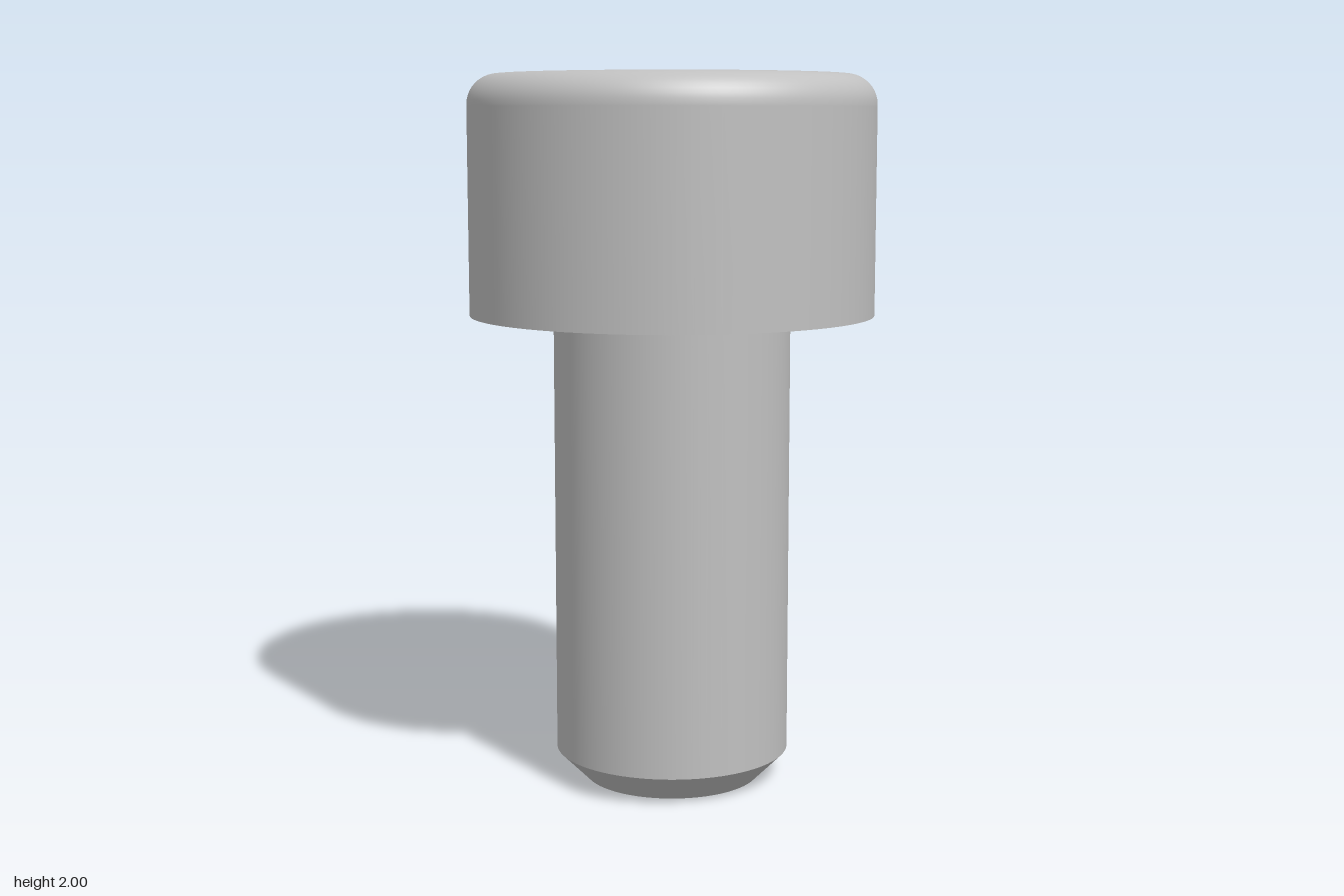
import * as THREE from 'three';

const SEG = 96;
const HEAD_R = 0.567, HEAD_Y = 1.335, FILLET = 0.085;
const SHANK_R = 0.333, CHAMFER = 0.083, NECK = 0.013;
const HEX_R = 0.309, WALL = 0.19, DRILL = 0.155;

// Points along a quarter circle, for fillets in a lathe profile
function arc(cx, cy, r, from, to, steps = 10) {
  return Array.from({ length: steps + 1 }, (_, i) => {
    const a = from + (to - from) * i / steps;
    return [cx + r * Math.cos(a), cy + r * Math.sin(a)];
  });
}

export function createModel() {
  const group = new THREE.Group();
  const steel = new THREE.MeshStandardMaterial({ color: 0xc0c0c0 });
  steel.name = 'steel grey';

  const add = (name, geometry) => {
    const mesh = new THREE.Mesh(geometry, steel);
    mesh.name = name;
    group.add(mesh);
  };
  // Profiles run from the axis outward and upward
  const lathe = (name, pts) =>
    add(name, new THREE.LatheGeometry(pts.map(p => new THREE.Vector2(...p)), SEG));

  // Shank, with a chamfered tip and a small fillet under the head
  lathe('tipFace', [[0, 0], [SHANK_R - CHAMFER, 0]]);
  lathe('tipChamfer', [[SHANK_R - CHAMFER, 0], [SHANK_R, CHAMFER]]);
  lathe('shank', [[SHANK_R, CHAMFER], [SHANK_R, HEAD_Y - NECK - 0.01],
    ...arc(SHANK_R + NECK, HEAD_Y - NECK, NECK, Math.PI, Math.PI / 2, 6)]);

  // Head, with a rounded top rim
  lathe('headUnderside', [[SHANK_R + NECK, HEAD_Y], [HEAD_R, HEAD_Y]]);
  lathe('headSide', [[HEAD_R, HEAD_Y], [HEAD_R, 2 - FILLET - 0.005],
    ...arc(HEAD_R - FILLET, 2 - FILLET, FILLET, 0, Math.PI / 2),
    [HEAD_R - FILLET - 0.005, 2]]);

  // Flat top with a hexagonal opening, corners pointing front and back
  const top = new THREE.Shape().absarc(0, 0, HEAD_R - FILLET - 0.005, 0, Math.PI * 2);
  const hex = Array.from({ length: 6 }, (_, i) => new THREE.Vector2(
    HEX_R * Math.sin(i * Math.PI / 3), HEX_R * Math.cos(i * Math.PI / 3)));
  top.holes.push(new THREE.Path(hex));
  add('headTop', new THREE.ShapeGeometry(top, SEG).rotateX(-Math.PI / 2).translate(0, 2, 0));

  // Socket walls, mirrored so that they face inward
  const walls = new THREE.CylinderGeometry(HEX_R, HEX_R, WALL, 6, 1, true)
    .scale(-1, 1, 1).translate(0, 2 - WALL / 2, 0).toNonIndexed();
  walls.computeVertexNormals();
  add('socketWalls', walls);

  // Sunken socket floor: an upside-down cone seen from inside
  const floor = new THREE.ConeGeometry(HEX_R, DRILL, 6, 1, true)
    .scale(1, -1, 1).translate(0, 2 - WALL - DRILL / 2, 0);
  const n = floor.attributes.normal;
  for (let i = 0; i < n.count; i++) n.setXYZ(i, -n.getX(i), -n.getY(i), -n.getZ(i));
  add('socketFloor', floor);

  return group;
}
